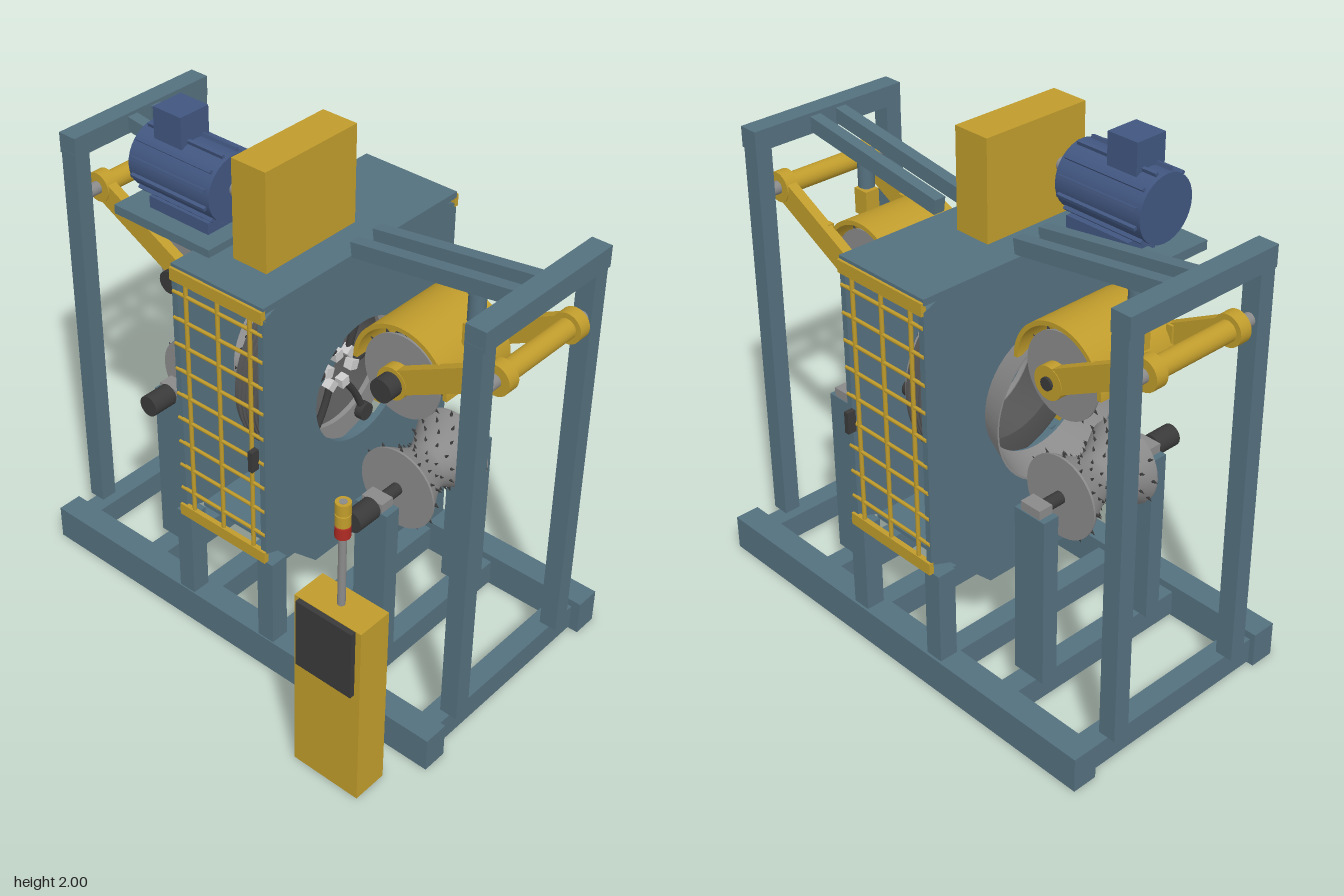
import * as THREE from 'three';
import { mergeGeometries, toCreasedNormals } from 'three/addons/utils/BufferGeometryUtils.js';

const mat = (color, side = THREE.FrontSide) => new THREE.MeshStandardMaterial({ color, side });
const blue = mat(0x55717f), yellow = mat(0xc09c2c), navy = mat(0x415680), dark = mat(0x3a3a3a);
const grey = mat(0x8a8a8a), steel = mat(0xcccccc), red = mat(0xb02a24);
const greyOpen = mat(0x8a8a8a, THREE.DoubleSide), blueOpen = mat(0x55717f, THREE.DoubleSide);
const ZC = -0.13, YC = 1.045, XC = -0.015; // axis of the ring

export function createModel() {
  const root = new THREE.Group();
  const add = (name, geo, m, x = 0, y = 0, z = 0) => {
    const mesh = new THREE.Mesh(geo, m);
    mesh.name = name;
    mesh.position.set(x, y, z);
    root.add(mesh);
    return mesh;
  };
  // box given by its limits
  const box = (name, m, x0, x1, y0, y1, z0, z1) =>
    add(name, new THREE.BoxGeometry(Math.abs(x1 - x0), y1 - y0, z1 - z0), m, (x0 + x1) / 2, (y0 + y1) / 2, (z0 + z1) / 2);
  // cylinder along one axis, from a to b
  const rod = (name, m, axis, r, a, b, p, q, seg = 24) => {
    const g = new THREE.CylinderGeometry(r, r, b - a, seg), c = (a + b) / 2;
    if (axis === 'x') return add(name, g.rotateZ(-Math.PI / 2), m, c, p, q);
    if (axis === 'z') return add(name, g.rotateX(Math.PI / 2), m, p, q, c);
    return add(name, g, m, p, c, q);
  };
  // beam in the xy plane between two points
  const beam = (name, m, x0, y0, x1, y1, h, z, d) => {
    const b = add(name, new THREE.BoxGeometry(Math.hypot(x1 - x0, y1 - y0), h, d), m, (x0 + x1) / 2, (y0 + y1) / 2, z);
    b.rotation.z = Math.atan2(y1 - y0, x1 - x0);
    return b;
  };
  const lathe = (pts, seg = 48) =>
    toCreasedNormals(new THREE.LatheGeometry(pts.map(p => new THREE.Vector2(p[0], p[1])), seg), 0.5);

  // Base frame
  box('baseBeamFront', blue, -0.93, 0.945, 0, 0.14, 0.28, 0.38);
  box('baseBeamBack', blue, -0.93, 0.945, 0, 0.14, -0.64, -0.54);
  for (const s of [-1, 1]) for (const x of [0.867, 0.49, 0.19])
    box('baseCrossBeam', blue, s * x - 0.041, s * x + 0.041, 0.01, 0.11, -0.54, 0.28);

  // Housing: side plates with round opening, top, bottom, hopper, legs
  const side = new THREE.Shape([[-0.505, 0.04], [-0.4, 0], [0.4, 0], [0.505, 0.04], [0.505, 1.03], [0.42, 1.065],
    [-0.42, 1.065], [-0.505, 1.03]].map(p => new THREE.Vector2(...p)));
  side.holes.push(new THREE.Path().absarc(0, YC - 0.512, 0.243, 0, Math.PI * 2, true));
  for (const x of [-0.225, 0.168]) {
    const g = new THREE.ExtrudeGeometry(side, { depth: 0.025, bevelEnabled: false, curveSegments: 32 });
    add('housingSide', g.rotateY(Math.PI / 2), blue, x, 0.512, ZC);
  }
  box('housingTop', blue, -0.225, 0.193, 1.565, 1.59, -0.635, 0.375);
  box('housingBottom', blue, -0.2, 0.168, 0.505, 0.52, -0.55, 0.29);
  const hopper = new THREE.Shape([[-0.42, 0.512], [-0.19, 0.29], [0.19, 0.29], [0.42, 0.512]].map(p => new THREE.Vector2(...p)));
  add('chipHopper', new THREE.ExtrudeGeometry(hopper, { depth: 0.33, bevelEnabled: false }).rotateY(Math.PI / 2), blueOpen, -0.18, 0, ZC);
  for (const x of [-0.255, 0.148]) for (const z of [0.3, -0.63])
    box('housingLeg', blue, x, x + 0.073, 0.11, 0.512, z, z + 0.075);

  // Guard grilles front and back
  for (const [z, s] of [[0.375, 1], [-0.635, -1]]) {
    for (const y of [0.512, 1.53]) box('grilleRail', yellow, -0.225, 0.193, y, y + 0.048, z - 0.01, z + 0.01);
    for (const x of [-0.16, -0.014, 0.132]) rod('grilleUpright', yellow, 'y', 0.008, 0.55, 1.54, x, z, 8);
    for (let i = 0; i < 9; i++) rod('grilleBar', yellow, 'x', 0.007, -0.22, 0.188, 0.635 + i * 0.106, z, 8);
    box('grilleHandle', dark, 0.147, 0.167, 0.925, 1.01, z + s * 0.02 - 0.017, z + s * 0.02 + 0.017);
  }

  // Grooved rotor ring
  const prof = [[0.25, -0.075], [0.345, -0.075]];
  for (let i = 0; i < 8; i++) {
    const y = -0.075 + i * 0.01875, r = i === 0 || i === 7 ? 0.36 : 0.37;
    prof.push([0.345, y + 0.001], [r, y + 0.006], [r, y + 0.013], [0.345, y + 0.0178]);
  }
  prof.push([0.345, 0.075], [0.25, 0.075], [0.25, -0.075]);
  add('rotorRing', lathe(prof, 64).rotateZ(-Math.PI / 2), mat(0x555555, THREE.DoubleSide), XC, YC, ZC);
  add('rotorFace', lathe([[0.245, 0], [0.34, 0], [0.34, 0.02], [0.245, 0.02], [0.245, 0]], 64).rotateZ(-Math.PI / 2), greyOpen, 0.06, YC, ZC);
  box('ringSensor', red, -0.13, -0.09, 1.285, 1.355, 0.05, 0.12);

  // Six curved tool arms with square tips
  for (let i = 0; i < 6; i++) {
    const a = i * Math.PI / 3 + 0.05;
    const at = (r, t) => new THREE.Vector3(0.088, YC + r * Math.sin(t), ZC + r * Math.cos(t));
    const p = at(0.295, a), tip = at(0.07, a + 0.2);
    rod('armPivot', dark, 'x', 0.035, 0.07, 0.112, p.y, p.z, 16);
    const curve = new THREE.QuadraticBezierCurve3(p, at(0.19, a - 0.12), tip);
    add('toolArm', new THREE.TubeGeometry(curve, 12, 0.014, 8), dark);
    add('toolTip', new THREE.BoxGeometry(0.035, 0.038, 0.038), steel, tip.x, tip.y, tip.z).rotation.x = -a - 0.3;
  }

  // Infeed funnel
  add('infeedFunnel', lathe([[0.295, -0.335], [0.245, -0.215], [0.238, -0.215], [0.288, -0.335], [0.295, -0.335]], 48)
    .rotateZ(-Math.PI / 2), greyOpen, 0, YC, ZC);

  // Hourglass feed roller with studs, axis along z
  const rollerGeo = lathe([[0, -0.156], [0.16, -0.156], [0.16, -0.148], [0.12, -0.08], [0.095, -0.03], [0.088, 0],
    [0.095, 0.03], [0.12, 0.08], [0.16, 0.148], [0.16, 0.156], [0, 0.156]], 40).rotateX(Math.PI / 2);
  const studs = [];
  [[0.157, 0.14], [0.135, 0.105], [0.115, 0.07], [0.095, 0.03]].forEach(([r, z], row) => {
    for (const s of [-1, 1]) for (let i = 0; i < 12; i++)
      studs.push(new THREE.ConeGeometry(0.008, 0.026, 6).translate(0, r + 0.005, s * z).rotateZ((i + row % 2 / 2) * Math.PI / 6));
  });
  const studGeo = mergeGeometries(studs);

  // Curved roller cover
  const arch = new THREE.Shape();
  arch.absarc(0, 0, 0.2, 0, Math.PI, false);
  arch.absarc(0, 0, 0.183, Math.PI, 0, true);
  const archGeo = toCreasedNormals(new THREE.ExtrudeGeometry(arch, { depth: 0.35, bevelEnabled: false, curveSegments: 24 }), 0.5);

  // Feed stations on both sides
  for (const s of [-1, 1]) {
    const x = s * 0.493, px = s * 0.903;
    for (const y of [0.803, 1.282]) {
      add('feedRoller', rollerGeo, grey, x, y, ZC);
      add('rollerStuds', studGeo, dark, x, y, ZC);
    }
    // Lower roller stand
    for (const z of [0.1, -0.43]) {
      box('rollerPost', blue, x - 0.07, x + 0.07, 0.11, 0.8, z, z + 0.067);
      box('rollerBearing', grey, x - 0.045, x + 0.045, 0.775, 0.835, z + 0.004, z + 0.063);
    }
    rod('lowerShaft', dark, 'z', 0.024, -0.38, 0.15, x, 0.803);
    rod('lowerMotor', dark, 'z', 0.042, 0.165, 0.27, x, 0.803);
    // Swing arms with pivot tube and cover
    for (const z of [0.058, -0.328]) {
      beam('swingArm', yellow, x, 1.282, px, 1.495, 0.09, z, 0.04);
      rod('armEnd', yellow, 'z', 0.062, z - 0.022, z + 0.022, x, 1.282);
      rod('armHub', yellow, 'z', 0.058, z - 0.025, z + 0.025, px, 1.495);
    }
    rod('pivotTube', yellow, 'z', 0.038, -0.33, 0.06, px, 1.495);
    rod('pivotShaft', grey, 'z', 0.025, -0.4, 0.15, px, 1.495);
    rod('upperShaft', dark, 'z', 0.024, -0.36, 0.08, x, 1.282);
    rod('upperMotor', dark, 'z', 0.045, 0.075, 0.137, x, 1.282);
    add('rollerCover', archGeo, yellow, x, 1.282, -0.31);
    for (const z of [-0.31, 0.04])
      box('coverBracket', yellow, s * 0.655, s * 0.68, 1.34, 1.42, z - 0.012, z + 0.012);
    // Lift cylinder
    box('liftClevis', yellow, s * 0.637, s * 0.702, 1.4, 1.5, ZC - 0.03, ZC + 0.03);
    rod('liftRod', grey, 'y', 0.015, 1.38, 1.53, s * 0.668, ZC);
    rod('liftCylinder', blue, 'y', 0.031, 1.51, 1.64, s * 0.668, ZC);
    rod('liftCap', blue, 'y', 0.037, 1.62, 1.65, s * 0.668, ZC);
    // Portal posts, top beam and sloping braces
    for (const z of [0.14, -0.46]) box('portalPost', blue, s * 0.867, s * 0.938, 0.11, 1.69, z, z + 0.067);
    box('portalBeam', blue, s * 0.865, s * 0.945, 1.675, 1.755, -0.462, 0.206);
    for (const z of [-0.193, -0.077])
      beam('portalBrace', blue, s * 0.88, 1.715, s * 0.195, 1.617, 0.058, z, 0.046);
  }

  // Drive motor, platform and belt guard
  box('motorPlatform', blue, -0.605, -0.15, 1.585, 1.62, -0.06, 0.27);
  box('motorFoot', navy, -0.5, -0.22, 1.62, 1.665, 0, 0.2);
  rod('motorBody', navy, 'x', 0.124, -0.565, -0.185, 1.775, 0.104, 32);
  for (let i = 0; i < 12; i++) {
    const a = (i + 0.5) * Math.PI / 6;
    const fin = add('motorFin', new THREE.BoxGeometry(0.35, 0.022, 0.012), navy,
      -0.375, 1.775 + 0.126 * Math.sin(a), 0.104 + 0.126 * Math.cos(a));
    fin.rotation.x = Math.PI / 2 - a;
  }
  box('terminalBox', navy, -0.49, -0.36, 1.88, 2, 0.04, 0.172);
  rod('motorShaft', grey, 'x', 0.025, -0.19, -0.08, 1.775, 0.104);
  box('beltGuard', yellow, -0.09, 0.06, 1.58, 1.97, -0.235, 0.215);

  // Control cabinet with signal light
  box('controlCabinet', yellow, 0.565, 0.85, 0, 0.77, 0.5, 0.64);
  box('controlPanel', dark, 0.587, 0.827, 0.485, 0.768, 0.64, 0.66);
  rod('signalPole', grey, 'y', 0.014, 0.77, 1.2, 0.707, 0.57, 16);
  [[red, 1.06], [yellow, 1.108], [yellow, 1.156]].forEach(([m, y]) => rod('signalLight', m, 'y', 0.027, y, y + 0.043, 0.707, 0.57, 20));
  return root;
}
